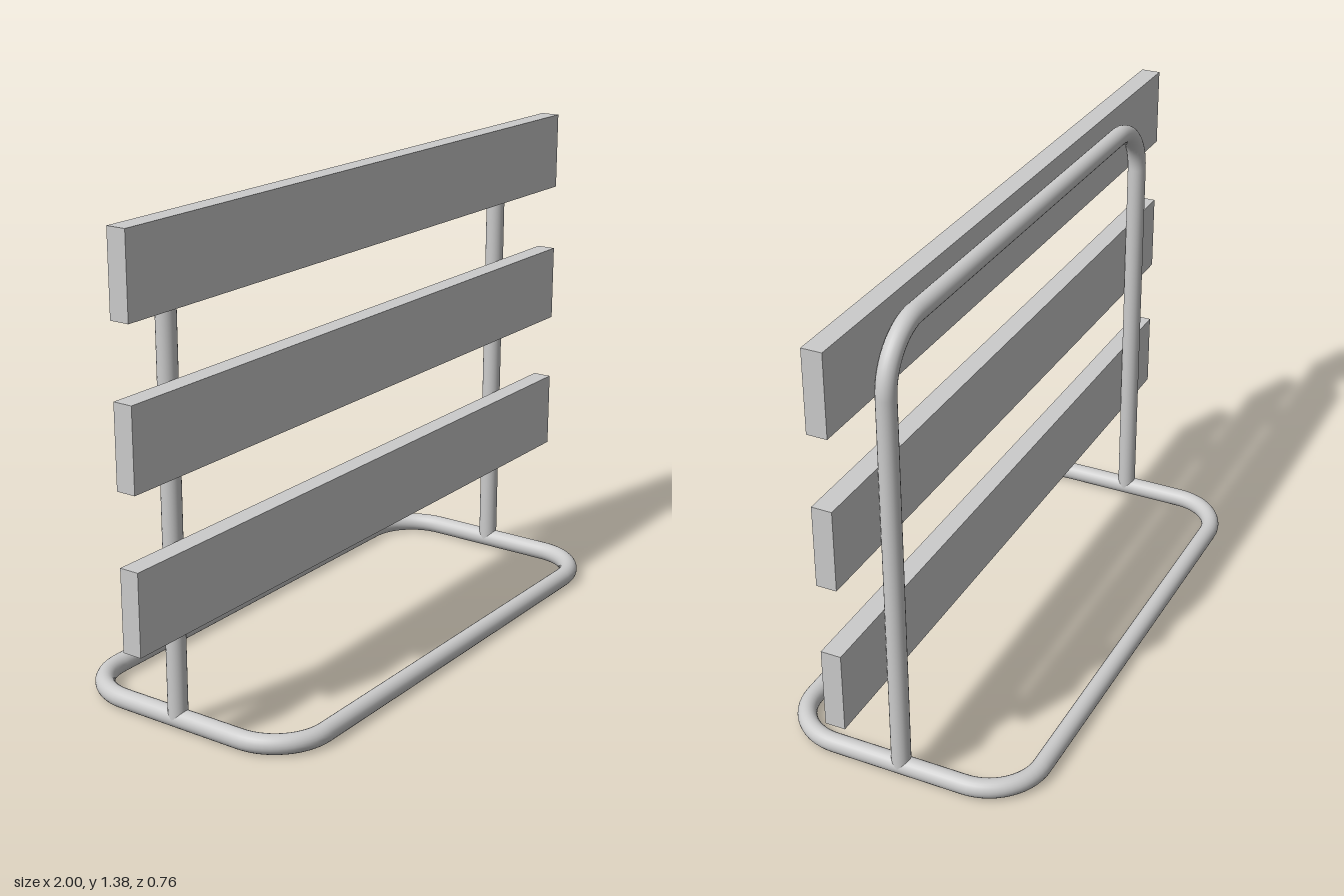
import * as THREE from 'three';

const TUBE = 0.027;    // pipe radius
const HALF_W = 0.773;  // pipe centreline half width
const HALF_D = 0.351;  // base centreline half depth
const BEND = 0.155;    // bend radius of the pipe centreline
const FRAME_TOP = 1.307;

const material = new THREE.MeshStandardMaterial({ color: 0xcccccc, roughness: 0.6 });

// Pipe path through corner points, each inner corner rounded by a circular bend
function bentPath(points, closed) {
  const path = new THREE.CurvePath();
  const n = points.length;
  const toward = (a, b) => a.clone().add(b.clone().sub(a).setLength(BEND));
  const K = 0.5523; // cubic handle length for a quarter circle
  const first = closed ? points[0].clone().lerp(points[n - 1], 0.5) : points[0];
  let last = first;
  for (let i = closed ? 0 : 1; i < (closed ? n : n - 1); i++) {
    const corner = points[i];
    const start = toward(corner, points[(i + n - 1) % n]);
    const end = toward(corner, points[(i + 1) % n]);
    path.add(new THREE.LineCurve3(last, start));
    path.add(new THREE.CubicBezierCurve3(
      start, start.clone().lerp(corner, K), end.clone().lerp(corner, K), end));
    last = end;
  }
  path.add(new THREE.LineCurve3(last, closed ? first : points[n - 1]));
  return path;
}

function pipe(name, points, closed) {
  const geometry = new THREE.TubeGeometry(bentPath(points, closed), 240, TUBE, 24, closed);
  const mesh = new THREE.Mesh(geometry, material);
  mesh.name = name;
  return mesh;
}

export function createModel() {
  const model = new THREE.Group();
  model.name = 'slattedStand';
  const v = (x, y, z) => new THREE.Vector3(x, y, z);

  // Rounded rectangular floor loop
  model.add(pipe('baseLoop', [
    v(-HALF_W, TUBE, HALF_D), v(HALF_W, TUBE, HALF_D),
    v(HALF_W, TUBE, -HALF_D), v(-HALF_W, TUBE, -HALF_D),
  ], true));

  // Upright hoop rising from the middle of the base sides
  const z = -0.009;
  model.add(pipe('uprightFrame', [
    v(-HALF_W, TUBE, z), v(-HALF_W, FRAME_TOP, z),
    v(HALF_W, FRAME_TOP, z), v(HALF_W, TUBE, z),
  ], false));

  // Three horizontal boards on the front of the hoop
  ['lowerBoard', 'middleBoard', 'upperBoard'].forEach((name, i) => {
    const board = new THREE.Mesh(new THREE.BoxGeometry(2, 0.225, 0.056), material);
    board.name = name;
    board.position.set(0, 0.418 + i * 0.4225, 0.046);
    model.add(board);
  });

  return model;
}
